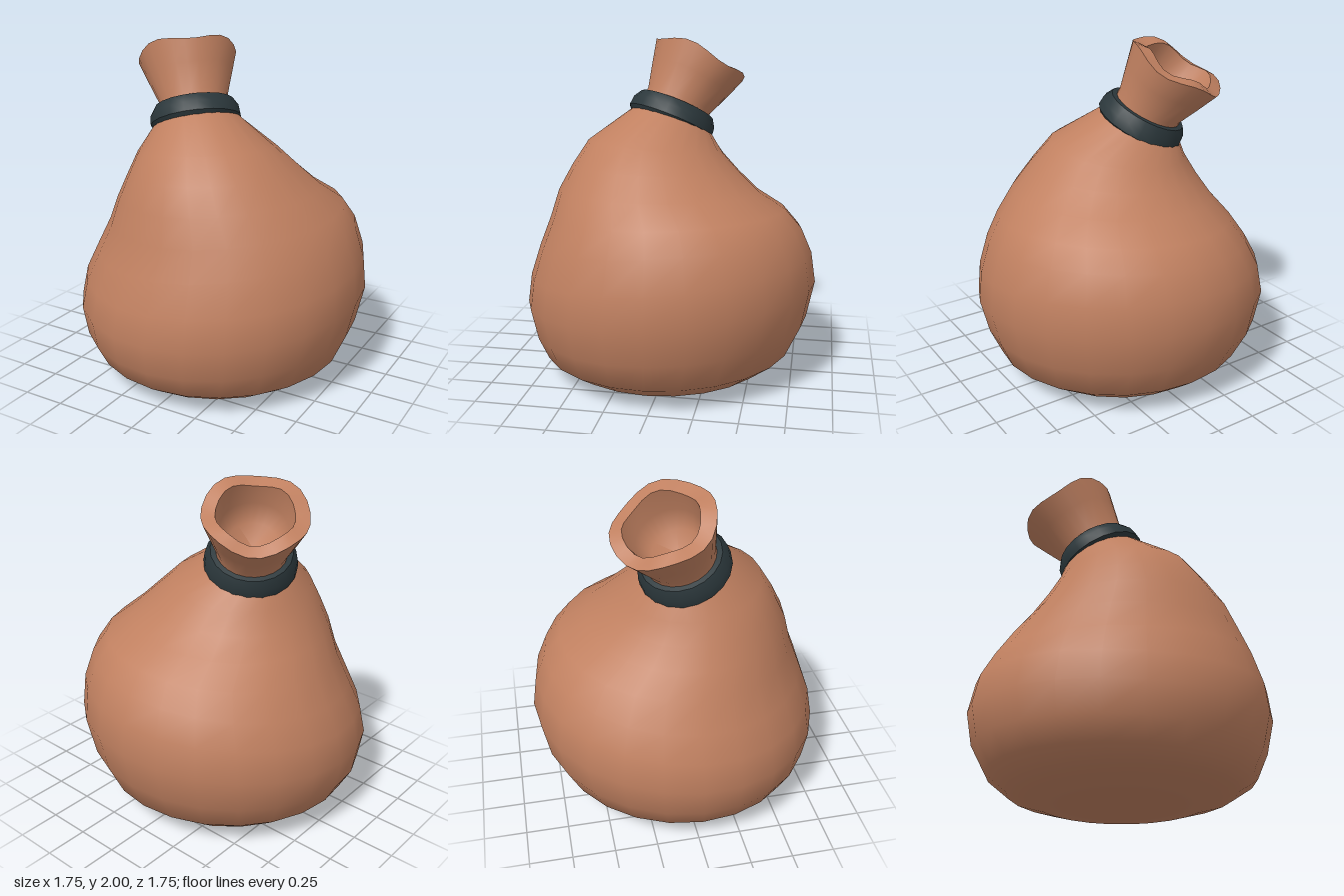
import * as THREE from 'three';
import { toCreasedNormals } from 'three/addons/utils/BufferGeometryUtils.js';

const UP = new THREE.Vector3(0, 1, 0);

// Rotation of a ring whose plane rises by sx along x and sz along z
const tilt = (sx, sz) =>
  new THREE.Quaternion().setFromUnitVectors(UP, new THREE.Vector3(-sx, 1, -sz).normalize());

// Skin through tilted rings: [x, y, z, radius, slopeX, slopeZ, waviness]
function loft(rings, sides) {
  const pos = [], index = [];
  const p = new THREE.Vector3();
  rings.forEach(([x, y, z, r, sx = 0, sz = 0, wave = 0], i) => {
    const q = tilt(sx, sz);
    for (let j = 0; j < sides; j++) {
      const t = (j / sides) * Math.PI * 2;
      p.set(r * Math.cos(t), wave * Math.sin(4 * t + 1), r * Math.sin(t)).applyQuaternion(q);
      pos.push(x + p.x, y + p.y, z + p.z);
      if (i === rings.length - 1) continue;
      const a = i * sides + j, b = i * sides + ((j + 1) % sides);
      index.push(a, a + sides, b, b, a + sides, b + sides);
    }
  });
  const g = new THREE.BufferGeometry();
  g.setAttribute('position', new THREE.Float32BufferAttribute(pos, 3));
  g.setIndex(index);
  return toCreasedNormals(g, 1.0);
}

export function createModel() {
  const group = new THREE.Group();
  const cloth = new THREE.MeshStandardMaterial({ color: 0xc08060 });
  const band = new THREE.MeshStandardMaterial({ color: 0x2b373b });

  // Slumped body, from the flat base up to the tied neck
  const body = new THREE.Mesh(loft([
    [0, 0, 0.02, 0.001],
    [0, 0, 0.02, 0.3],
    [-0.01, 0.01, 0.03, 0.48],
    [-0.02, 0.055, 0.04, 0.64],
    [-0.01, 0.145, 0.02, 0.76, 0, -0.03],
    [-0.01, 0.3, 0.005, 0.835, 0.02, -0.065],
    [0, 0.5, 0, 0.877, 0.04, -0.09],
    [0.01, 0.68, 0, 0.85, 0.05, -0.1],
    [0.02, 0.845, 0, 0.785, 0.08, -0.085],
    [0.03, 0.99, 0.015, 0.7, 0.07, -0.05],
    [0.01, 1.115, 0.07, 0.6, 0.07, 0],
    [-0.02, 1.24, 0.095, 0.503, 0.09, 0.03],
    [-0.05, 1.365, 0.1, 0.408, 0.1, 0.09],
    [-0.16, 1.5, 0.03, 0.255, 0.29, 0.27],
    [-0.18, 1.54, 0.02, 0.21, 0.36, 0.36],
  ], 24), cloth);
  body.name = 'sackBody';
  group.add(body);

  // Flared mouth: outside, rim, then the hollow inside
  const mouth = new THREE.Mesh(loft([
    [-0.18, 1.54, 0.02, 0.205, 0.36, 0.36],
    [-0.21, 1.62, -0.01, 0.205, 0.38, 0.38],
    [-0.27, 1.75, -0.07, 0.255, 0.4, 0.41, 0.008],
    [-0.32, 1.86, -0.12, 0.295, 0.4, 0.43, 0.018],
    [-0.325, 1.865, -0.13, 0.215, 0.4, 0.43, 0.018],
    [-0.28, 1.76, -0.08, 0.19, 0.4, 0.41],
    [-0.23, 1.66, -0.03, 0.14, 0.38, 0.38],
    [-0.21, 1.62, -0.01, 0.001, 0.38, 0.38],
  ], 24), cloth);
  mouth.name = 'sackMouth';
  group.add(mouth);

  // Dark tie around the neck
  const profile = [[0.19, -0.07], [0.245, -0.075], [0.27, -0.045], [0.265, 0.01],
    [0.235, 0.06], [0.19, 0.065]].map(([r, y]) => new THREE.Vector2(r, y));
  const tie = new THREE.Mesh(toCreasedNormals(new THREE.LatheGeometry(profile, 20), 0.75), band);
  tie.name = 'neckTie';
  tie.position.set(-0.18, 1.54, 0.02);
  tie.quaternion.copy(tilt(0.36, 0.36));
  group.add(tie);

  return group;
}
